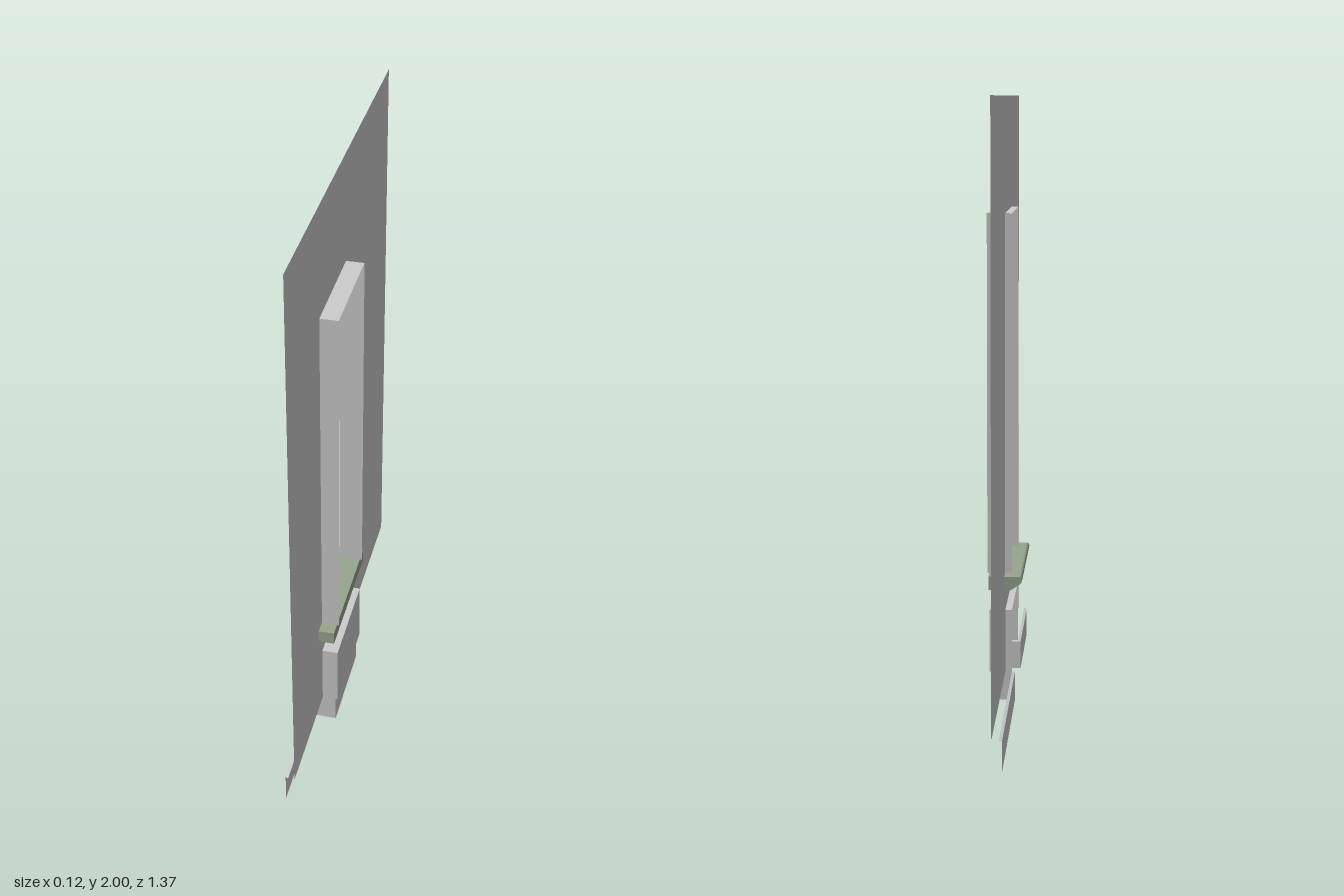
import * as THREE from 'three';

const wallX = -0.022, skirtX = -0.032;

// Plan outline [x, z] of the wall with its niche, inset evenly for the skirting
const wallPlan = [[wallX, 0.687], [wallX, 0.29], [0.053, 0.29], [0.053, -0.055], [wallX, -0.055], [wallX, -0.687]];
const skirtPlan = [[skirtX, 0.679], [skirtX, 0.28], [0.043, 0.28], [0.043, -0.045], [skirtX, -0.045], [skirtX, -0.687]];
const mix = (a, b, t) => a.map((p, i) => p.map((v, k) => v + (b[i][k] - v) * t));

// Flat-faced strip between two matching 3D polylines
function strip(a, b) {
  const pos = [];
  for (let i = 0; i < a.length - 1; i++) {
    pos.push(...a[i], ...b[i], ...b[i + 1], ...a[i], ...b[i + 1], ...a[i + 1]);
  }
  const g = new THREE.BufferGeometry();
  g.setAttribute('position', new THREE.Float32BufferAttribute(pos, 3));
  g.computeVertexNormals();
  return g;
}

export function createModel() {
  const model = new THREE.Group();
  model.name = 'windowWall';
  const plaster = new THREE.MeshStandardMaterial({ color: 0xcccccc, side: THREE.DoubleSide });
  plaster.name = 'pale grey plaster';
  const stone = new THREE.MeshStandardMaterial({ color: 0x97a68f });
  stone.name = 'sage green sill';

  const add = (name, geometry, material) => {
    const mesh = new THREE.Mesh(geometry, material);
    mesh.name = name;
    model.add(mesh);
  };
  const at = (plan, y) => plan.map(([x, z]) => [x, y, z]);

  // Wall sheet drawn in (z, y), notched for the niche and pierced by the window
  const shape = new THREE.Shape([
    [-0.687, 0.1], [-0.055, 0.1], [-0.055, 0.315], [0.29, 0.315],
    [0.29, 0.1], [0.687, 0.1], [0.687, 2], [-0.687, 2],
  ].map(([z, y]) => new THREE.Vector2(z, y)));
  shape.holes.push(new THREE.Path([
    [-0.06, 0.443], [-0.06, 1.63], [0.293, 1.63], [0.293, 0.443],
  ].map(([z, y]) => new THREE.Vector2(z, y))));
  add('wall', new THREE.ShapeGeometry(shape).rotateY(-Math.PI / 2), plaster);

  // Window reveal: two jambs and a head
  const reveal = x => [[x, 0.443, 0.293], [x, 1.63, 0.293], [x, 1.63, -0.06], [x, 0.443, -0.06]];
  add('windowReveal', strip(reveal(wallX), reveal(0.059)), plaster);

  // Niche below the window: sides and back, then the top
  const niche = wallPlan.slice(1, 5);
  add('nicheSides', strip(at(niche, 0.315), at(niche, 0.1)), plaster);
  add('nicheTop', strip(
    [[wallX, 0.315, 0.29], [wallX, 0.315, -0.055]],
    [[0.053, 0.315, 0.29], [0.053, 0.315, -0.055]]), plaster);

  // Skirting: top ledge, face and narrow bottom return
  add('skirtingLedge', strip(at(wallPlan, 0.1), at(skirtPlan, 0.098)), plaster);
  add('skirtingFace', strip(at(skirtPlan, 0.098), at(skirtPlan, 0)), plaster);
  add('skirtingReturn', strip(at(skirtPlan, 0), at(mix(skirtPlan, wallPlan, 0.4), 0)), plaster);

  // Sill with a rounded nose and a sloping underside
  const sill = new THREE.Shape();
  sill.moveTo(0.052, 0.4);
  sill.lineTo(0.052, 0.445);
  sill.lineTo(-0.05, 0.445);
  sill.quadraticCurveTo(-0.059, 0.444, -0.059, 0.434);
  sill.quadraticCurveTo(-0.059, 0.424, -0.05, 0.419);
  sill.lineTo(-0.022, 0.4);
  const sillGeometry = new THREE.ExtrudeGeometry(sill, { depth: 0.451, bevelEnabled: false, curveSegments: 4 });
  add('windowSill', sillGeometry.translate(0, 0, -0.112), stone);

  return model;
}
